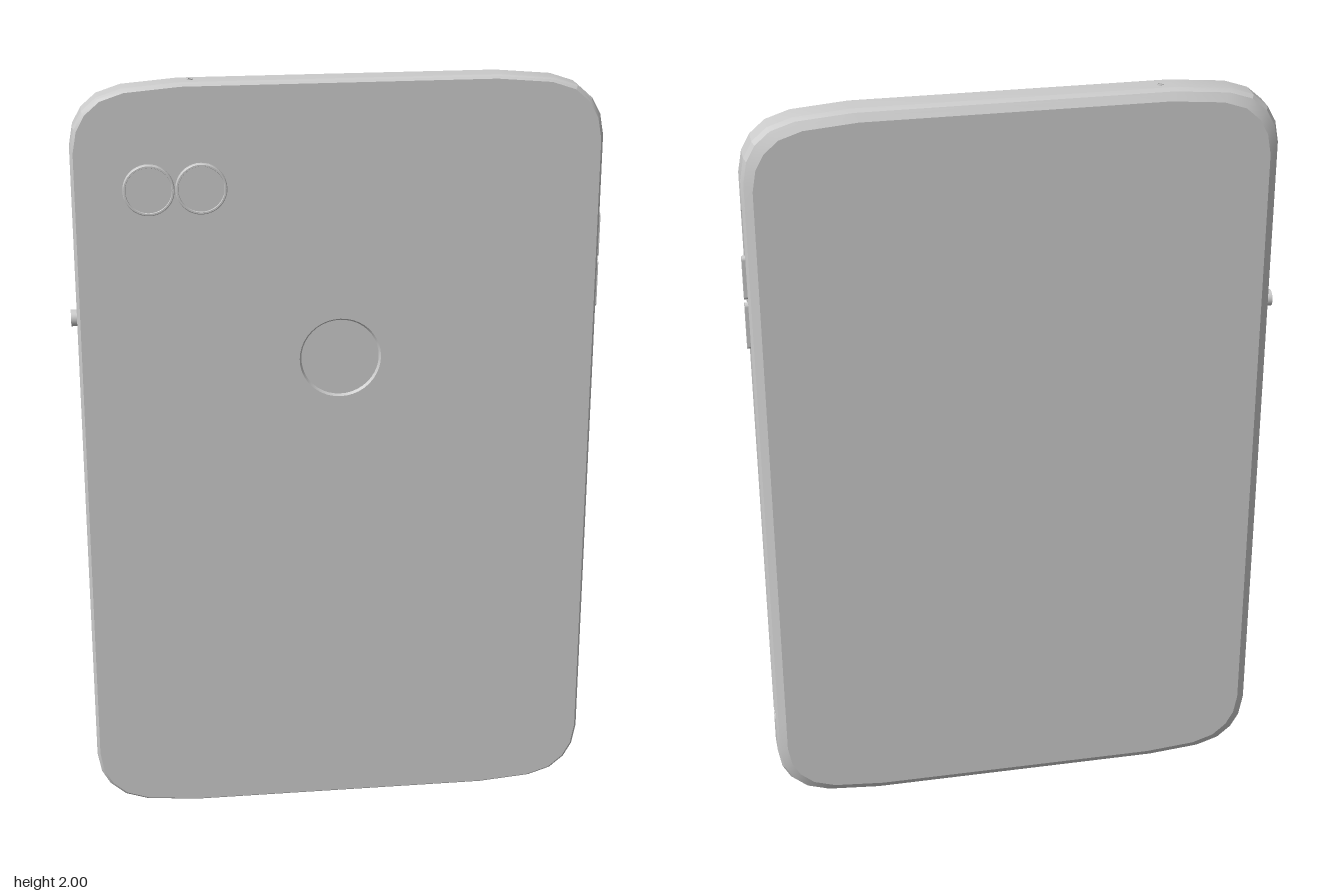
import * as THREE from 'three';
import { toCreasedNormals } from 'three/addons/utils/BufferGeometryUtils.js';

const HX = 0.665, HY = 0.998, MID = 1;
const SLOT_HALF = 0.75, SLOT_R = 0.024, SLOT_DEPTH = 0.012;
const FRONT = 0.043, BACK = -0.056;
const SENSOR = { y: 0.28, r: 0.105, depth: 0.007 };

const material = new THREE.MeshStandardMaterial({ color: 0xcccccc });

function add(parent, name, geometry, x = 0, y = 0, z = 0) {
  const mesh = new THREE.Mesh(geometry, material);
  mesh.name = name;
  mesh.position.set(x, y, z);
  parent.add(mesh);
  return mesh;
}

// Rounded outline, mirrored from one quadrant; includes stations for the slot ends
function makeOutline() {
  const q = [];
  for (let i = 3; i >= 0; i--) {
    const a = i * Math.PI / 6;
    q.push([HX, SLOT_HALF - SLOT_R * (1 - Math.cos(a))]);
  }
  for (const [dx, dy] of [[0, 0.16], [0.01, 0.105], [0.032, 0.065], [0.07, 0.032], [0.13, 0.012], [0.27, 0]])
    q.push([HX - dx, HY - dy]);
  const r = [...q].reverse();
  return [...q, ...r.map(([x, y]) => [-x, y]), ...q.map(([x, y]) => [-x, -y]), ...r.map(([x, y]) => [x, -y])];
}

// Half width of the side slot at a point of the outline
function slotWidth(x, y) {
  if (Math.abs(x) < HX - 1e-6) return 0;
  const t = Math.max(0, Math.abs(y) - (SLOT_HALF - SLOT_R));
  return t >= SLOT_R - 1e-6 ? 0 : Math.sqrt(SLOT_R * SLOT_R - t * t);
}

const insetRing = (outline, d) => outline.map(([x, y]) => [x * (1 - d / HX), y * (1 - d / HY)]);

// Side wall lofted from front to back, with a channel sunk into both long sides
function frameGeometry(outline) {
  const flat = (z, d) => insetRing(outline, d).map(([x, y]) => [x, y, z]);
  const slot = (sign, sunk) => outline.map(([x, y]) => {
    const h = slotWidth(x, y);
    const depth = sunk ? SLOT_DEPTH * Math.min(1, h / 0.015) : 0;
    return [x - Math.sign(x) * depth, y, sign * h * (sunk ? 0.7 : 1)];
  });
  const rings = [
    flat(FRONT, 0.008), flat(0.037, 0.003), flat(0.028, 0),
    slot(1, false), slot(1, true), slot(-1, true), slot(-1, false),
    flat(-0.028, 0), flat(-0.043, 0.006), flat(-0.047, 0.012), flat(BACK, 0.026),
  ];
  const n = outline.length, index = [];
  for (let i = 0; i < rings.length - 1; i++) {
    for (let j = 0; j < n; j++) {
      const k = (j + 1) % n;
      const a = i * n + j, b = a + n, c = (i + 1) * n + k, d = i * n + k;
      index.push(a, b, c, a, c, d);
    }
  }
  const g = new THREE.BufferGeometry();
  g.setAttribute('position', new THREE.Float32BufferAttribute(rings.flat(2), 3));
  g.setIndex(index);
  return toCreasedNormals(g, 0.25);
}

const shapeOf = (points) => new THREE.Shape(points.map(([x, y]) => new THREE.Vector2(x, y)));

function pill(path, length, r) {
  const s = Math.max(0, length / 2 - r);
  path.absarc(s, 0, r, -Math.PI / 2, Math.PI / 2);
  path.absarc(-s, 0, r, Math.PI / 2, Math.PI * 1.5);
  path.closePath();
  return path;
}

// Rim around an opening, thin in the extrude direction
function rimGeometry(length, r, wall, depth) {
  const s = pill(new THREE.Shape(), length, r);
  s.holes.push(pill(new THREE.Path(), length - 2 * wall, r - wall));
  return new THREE.ExtrudeGeometry(s, { depth, bevelEnabled: false, curveSegments: 10 });
}

// Profile turned about the z axis
function turned(points) {
  const g = new THREE.LatheGeometry(points.map(([r, z]) => new THREE.Vector2(r, z)), 40);
  return toCreasedNormals(g.rotateX(Math.PI / 2), 0.5);
}

export function createModel() {
  const model = new THREE.Group();
  model.name = 'tablet';
  const body = new THREE.Group();
  body.name = 'body';
  body.position.y = MID;
  model.add(body);

  const outline = makeOutline();
  add(body, 'sideFrame', frameGeometry(outline));

  // Camera side panel with an opening for the sensor
  const front = shapeOf(insetRing(outline, 0.008));
  front.holes.push(new THREE.Path().absarc(0, SENSOR.y, SENSOR.r, 0, Math.PI * 2, true));
  add(body, 'frontPanel', new THREE.ShapeGeometry(front, 20), 0, 0, FRONT);

  // Flat screen on the other side
  const screen = new THREE.ShapeGeometry(shapeOf(insetRing(outline, 0.026))).rotateY(Math.PI);
  add(body, 'screen', screen, 0, 0, BACK);

  // Sunken round sensor
  add(body, 'sensorRecess', turned([
    [0, -SENSOR.depth], [SENSOR.r - 0.005, -SENSOR.depth], [SENSOR.r, 0],
  ].reverse()), 0, SENSOR.y, FRONT);

  // Twin camera lenses with raised rims
  for (const x of [-0.476, -0.346]) {
    add(body, 'cameraLens', turned([
      [0, 0.01], [0.057, 0.01], [0.058, 0.013], [0.062, 0.013], [0.064, 0.011], [0.064, -0.004],
    ].reverse()), x, 0.737, FRONT);
  }

  // Two volume buttons in the left slot
  for (const [y, length] of [[0.573, 0.115], [0.443, 0.125]]) {
    const g = new THREE.ExtrudeGeometry(pill(new THREE.Shape(), length, 0.009), { depth: 0.022, bevelEnabled: false, curveSegments: 8 });
    g.rotateZ(Math.PI / 2).rotateY(Math.PI / 2);
    add(body, 'volumeButton', g, HX - 0.014, y, 0);
  }

  // Round power button in the right slot
  const power = new THREE.CylinderGeometry(0.021, 0.021, 0.028, 24).rotateZ(Math.PI / 2);
  add(body, 'powerButton', power, -HX - 0.001, 0.4, 0);

  // Microphone hole on the top edge
  add(body, 'microphoneRim', rimGeometry(0.016, 0.008, 0.003, 0.004).rotateX(-Math.PI / 2), -0.365, HY - 0.002, -0.003);

  // Sockets on the bottom edge
  for (const [name, x, length, r] of [['audioSocket', 0.4, 0.04, 0.02], ['chargingPort', 0, 0.1, 0.014], ['speakerHole', -0.37, 0.04, 0.01]]) {
    add(body, name, rimGeometry(length, r, 0.004, 0.004).rotateX(Math.PI / 2), x, 0.002 - HY, 0);
  }
  return model;
}
